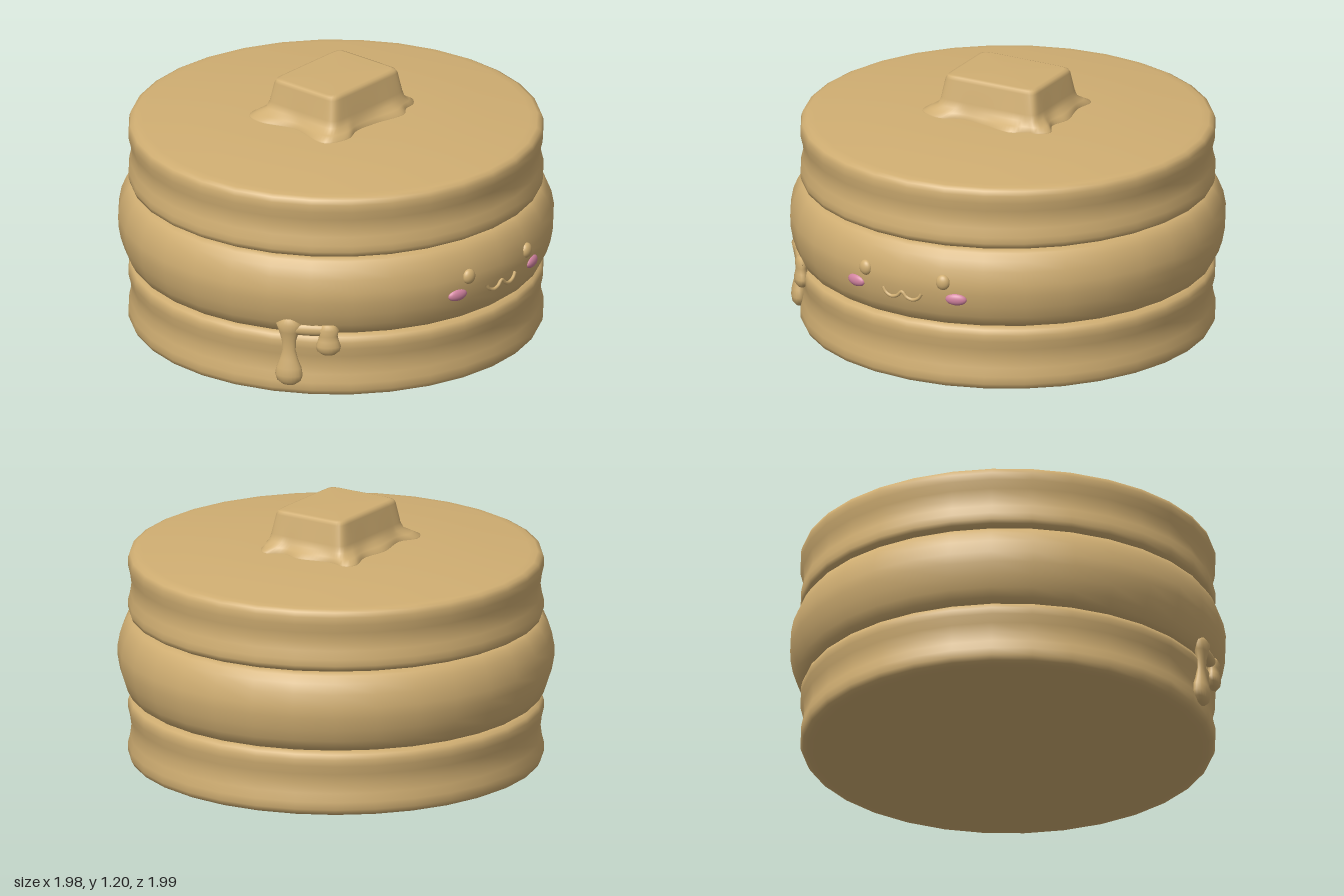
import * as THREE from 'three';

const tan = new THREE.MeshStandardMaterial({ color: 0xd0ae72 });
tan.name = 'golden batter';
const pink = new THREE.MeshStandardMaterial({ color: 0xd283a0 });
pink.name = 'blush pink';

const vec2 = (pts) => pts.map(([x, y]) => new THREE.Vector2(x, y));

function addMesh(parent, name, geometry, material = tan) {
  const mesh = new THREE.Mesh(geometry, material);
  mesh.name = name;
  parent.add(mesh);
  return mesh;
}

// Turned profile, listed from bottom to top as [radius, height]
const turned = (pts, sides = 32) => new THREE.LatheGeometry(vec2(pts), sides);

// Point on the middle pancake's front
const onFace = (x, y, r) => new THREE.Vector3(x, y, Math.sqrt(r * r - x * x));

// Butter: lofted rings from a wavy melted skirt up to a rounded block
function butterGeometry() {
  const outline = [
    [-0.25, -0.272], [-0.17, -0.235], [0, -0.265], [0.13, -0.245], [0.25, -0.275], [0.29, -0.25],
    [0.28, -0.15], [0.31, 0], [0.285, 0.1], [0.32, 0.18], [0.28, 0.22], [0.22, 0.23],
    [0.16, 0.268], [0, 0.24], [-0.12, 0.23], [-0.22, 0.26], [-0.32, 0.22], [-0.33, 0.17],
    [-0.29, 0], [-0.33, -0.17], [-0.31, -0.25],
  ].map(([x, z]) => new THREE.Vector3(x, 0, z));
  const n = 120;
  const skirt = new THREE.CatmullRomCurve3(outline, true).getSpacedPoints(n).slice(0, n);
  // [height, half width, half depth, share of the skirt outline]
  const rings = [
    [1.005, 0.26, 0.21, 1], [1.022, 0.26, 0.21, 1], [1.04, 0.26, 0.21, 0.55],
    [1.06, 0.255, 0.207, 0.1], [1.09, 0.25, 0.202, 0], [1.18, 0.235, 0.185, 0],
    [1.195, 0.228, 0.178, 0], [1.2, 0.212, 0.164, 0],
  ];
  const pos = [];
  const index = [];
  rings.forEach(([y, a, b, mix]) => skirt.forEach((p) => {
    const t = Math.atan2(p.z, p.x);
    const r = (Math.abs(Math.cos(t) / a) ** 14 + Math.abs(Math.sin(t) / b) ** 14) ** (-1 / 14);
    pos.push(
      THREE.MathUtils.lerp(r * Math.cos(t), p.x, mix), y,
      THREE.MathUtils.lerp(r * Math.sin(t), p.z, mix),
    );
  }));
  for (let k = 0; k < rings.length - 1; k++) {
    for (let i = 0; i < n; i++) {
      const a = k * n + i;
      const b = k * n + (i + 1) % n;
      index.push(a, a + n, b, b, a + n, b + n);
    }
  }
  // Flat top
  const last = (rings.length - 1) * n;
  pos.push(0, 1.2, 0);
  for (let i = 0; i < n; i++) index.push(last + i, rings.length * n, last + (i + 1) % n);
  const geo = new THREE.BufferGeometry();
  geo.setAttribute('position', new THREE.Float32BufferAttribute(pos, 3));
  geo.setIndex(index);
  geo.computeVertexNormals();
  return geo;
}

export function createModel() {
  const model = new THREE.Group();
  model.name = 'pancakeStack';

  // Three stacked pancakes
  addMesh(model, 'bottomPancake', turned([
    [0, 0], [0.88, 0], [0.91, 0.003], [0.932, 0.013], [0.943, 0.035], [0.943, 0.07], [0.933, 0.11],
    [0.927, 0.155], [0.933, 0.2], [0.943, 0.24], [0.943, 0.27], [0.935, 0.293], [0.91, 0.304],
    [0.88, 0.306], [0, 0.306],
  ]));
  addMesh(model, 'middlePancake', turned([
    [0, 0.304], [0.88, 0.304], [0.915, 0.309], [0.938, 0.325], [0.96, 0.365], [0.978, 0.42],
    [0.989, 0.48], [0.99, 0.53], [0.979, 0.59], [0.96, 0.636], [0.938, 0.668], [0.915, 0.679],
    [0.88, 0.682], [0, 0.682],
  ]));
  addMesh(model, 'topPancake', turned([
    [0, 0.68], [0.88, 0.68], [0.915, 0.683], [0.937, 0.695], [0.943, 0.715], [0.943, 0.745],
    [0.933, 0.785], [0.927, 0.825], [0.933, 0.87], [0.943, 0.91], [0.943, 0.945], [0.935, 0.967],
    [0.915, 0.977], [0.88, 0.981], [0.7, 0.998], [0.47, 1.015], [0.25, 1.019], [0, 1.02],
  ]));

  addMesh(model, 'butter', butterGeometry());

  // Face
  const face = new THREE.Group();
  face.name = 'face';
  model.add(face);
  const button = (name, x, y, r, size, material) => {
    const mesh = addMesh(face, name, new THREE.SphereGeometry(1, 24, 16), material);
    mesh.scale.set(...size);
    mesh.position.copy(onFace(x, y, r));
    mesh.rotation.y = Math.asin(x / r);
  };
  for (const [side, s] of [['left', 1], ['right', -1]]) {
    button(side + 'Eye', s * 0.2, 0.53, 0.984, [0.033, 0.036, 0.024], tan);
    button(side + 'Cheek', s * 0.258, 0.452, 0.98, [0.05, 0.028, 0.02], pink);
  }
  const smile = [
    [-0.1, 0.462], [-0.083, 0.438], [-0.055, 0.426], [-0.025, 0.434], [0, 0.456],
    [0.025, 0.434], [0.055, 0.426], [0.083, 0.438], [0.1, 0.462],
  ].map(([x, y]) => onFace(x, y, 0.988));
  addMesh(face, 'mouth', new THREE.TubeGeometry(new THREE.CatmullRomCurve3(smile), 48, 0.008, 8));

  // Syrup drips, flattened against the stack's side
  const syrup = new THREE.Group();
  syrup.name = 'syrup';
  model.add(syrup);
  const drip = (name, x, r, profile) => {
    const mesh = addMesh(syrup, name, turned(profile, 20));
    mesh.position.copy(onFace(x, 0, r));
    mesh.rotation.y = Math.asin(x / r);
    mesh.scale.z = 0.6;
  };
  drip('longDrip', -0.838, 0.945, [
    [0, 0.058], [0.03, 0.063], [0.055, 0.082], [0.064, 0.11], [0.058, 0.145], [0.042, 0.185],
    [0.031, 0.23], [0.034, 0.28], [0.046, 0.32], [0.06, 0.36], [0.03, 0.385], [0, 0.39],
  ]);
  drip('shortDrip', -0.742, 0.948, [
    [0, 0.214], [0.03, 0.219], [0.052, 0.237], [0.057, 0.26], [0.048, 0.285], [0.042, 0.31],
    [0.048, 0.34], [0.03, 0.36], [0, 0.365],
  ]);
  // Pool joining the two drips
  const pool = addMesh(syrup, 'syrupPool', new THREE.SphereGeometry(1, 24, 12));
  pool.scale.set(0.14, 0.03, 0.025);
  pool.position.copy(onFace(-0.79, 0.335, 0.942));
  pool.rotation.y = Math.asin(-0.79 / 0.942);

  return model;
}
